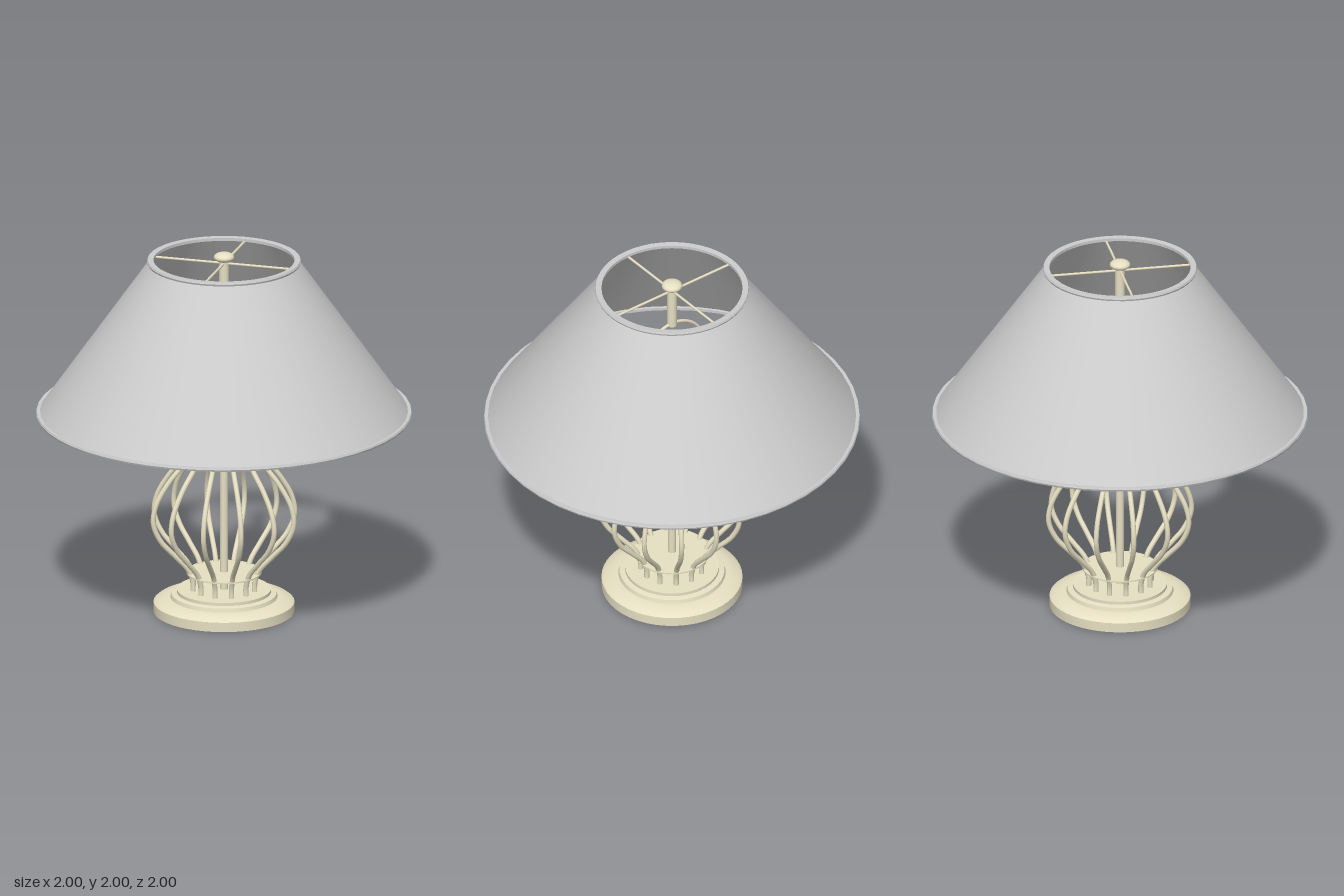
import * as THREE from 'three';
import { toCreasedNormals } from 'three/addons/utils/BufferGeometryUtils.js';

const cream = new THREE.MeshStandardMaterial({ color: 0xe6dfc2, side: THREE.DoubleSide });
const grey = new THREE.MeshStandardMaterial({ color: 0xcccccc, side: THREE.DoubleSide });
const dark = new THREE.MeshStandardMaterial({ color: 0x222222 });

export function createModel() {
  const lamp = new THREE.Group();
  lamp.name = 'tableLamp';

  const add = (name, geometry, material = cream, parent = lamp) => {
    const mesh = new THREE.Mesh(geometry, material);
    mesh.name = name;
    parent.add(mesh);
    return mesh;
  };
  // turned part from [radius, height] pairs, listed bottom to top
  const turned = (name, profile, material, segments = 48) =>
    add(name, toCreasedNormals(
      new THREE.LatheGeometry(profile.map(([r, y]) => new THREE.Vector2(r, y)), segments), 0.6), material);
  const rod = (name, radius, y0, y1, material) => {
    const mesh = add(name, new THREE.CylinderGeometry(radius, radius, y1 - y0, 20), material);
    mesh.position.y = (y0 + y1) / 2;
    return mesh;
  };

  // stepped round foot
  turned('base', [
    [0, 0], [0.375, 0], [0.375, 0.052], [0.36, 0.064], [0.31, 0.078], [0.285, 0.08],
    [0.28, 0.1], [0.25, 0.105], [0.25, 0.122], [0, 0.122],
  ]);

  // cage of twelve bowed ribs
  const ribPath = new THREE.CatmullRomCurve3([
    [0.17, 0.11], [0.17, 0.17], [0.195, 0.24], [0.265, 0.32], [0.345, 0.41], [0.386, 0.51],
    [0.372, 0.61], [0.305, 0.73], [0.215, 0.84], [0.172, 0.92], [0.18, 0.98], [0.2, 1.01],
  ].map(([r, y]) => new THREE.Vector3(r, y, 0)));
  const ribGeometry = new THREE.TubeGeometry(ribPath, 48, 0.014, 8);
  const cage = new THREE.Group();
  cage.name = 'ribCage';
  lamp.add(cage);
  for (let i = 0; i < 12; i++) {
    add('rib', ribGeometry, cream, cage).rotation.y = (i * Math.PI) / 6;
  }

  // thin plate and hoop tying the ribs together
  rod('lowerPlate', 0.2, 0.211, 0.219).geometry = new THREE.CylinderGeometry(0.2, 0.2, 0.008, 48);
  const hoop = add('upperHoop', new THREE.TorusGeometry(0.17, 0.006, 8, 48));
  hoop.rotation.x = Math.PI / 2;
  hoop.position.y = 0.906;

  // domed cap above the cage
  turned('cap', [
    [0, 0.992], [0.265, 0.992], [0.258, 1.002], [0.215, 1.022], [0.17, 1.038],
    [0.11, 1.05], [0.065, 1.06], [0.04, 1.065], [0, 1.065],
  ]);

  // stem, socket, switch and bulb
  rod('centreRod', 0.021, 0.12, 1.0);
  rod('neck', 0.039, 1.05, 1.32);
  turned('socket', [
    [0, 1.29], [0.045, 1.29], [0.056, 1.31], [0.056, 1.4], [0.048, 1.42], [0, 1.42],
  ]);
  const switchStem = add('switchStem', new THREE.CylinderGeometry(0.01, 0.01, 0.06, 10), dark);
  switchStem.rotation.x = Math.PI / 2;
  switchStem.position.set(0, 1.34, 0.08);
  const knob = add('switchKnob', new THREE.CylinderGeometry(0.022, 0.022, 0.03, 14), dark);
  knob.rotation.x = Math.PI / 2;
  knob.position.set(0, 1.34, 0.115);
  turned('bulb', [
    [0, 1.41], [0.045, 1.41], [0.047, 1.45], [0.07, 1.475], [0.105, 1.505],
    [0.123, 1.54], [0.118, 1.57], [0.09, 1.592], [0.045, 1.604], [0, 1.607],
  ], grey);

  // wire loop around the bulb that carries the shade
  const side = [[0.05, 1.3], [0.13, 1.325], [0.195, 1.39], [0.215, 1.48], [0.19, 1.6], [0.11, 1.69]];
  const loop = [
    ...side.map(([x, y]) => new THREE.Vector3(x, y, 0)),
    new THREE.Vector3(0, 1.725, 0),
    ...side.slice().reverse().map(([x, y]) => new THREE.Vector3(-x, y, 0)),
  ];
  add('harp', new THREE.TubeGeometry(new THREE.CatmullRomCurve3(loop), 64, 0.009, 8));
  rod('harpPost', 0.026, 1.715, 1.95);

  // crossed spider wires and finial
  for (const axis of ['x', 'z']) {
    const wire = add('spiderWire', new THREE.CylinderGeometry(0.007, 0.007, 0.78, 8));
    wire.rotation[axis] = Math.PI / 2;
    wire.position.y = 1.94;
  }
  const finial = add('finial', new THREE.SphereGeometry(0.055, 24, 16));
  finial.scale.y = 0.48;
  finial.position.y = 1.9736;

  // conical shade with a trim band at each rim
  add('shade', new THREE.CylinderGeometry(0.395, 0.985, 0.845, 48, 1, true), grey).position.y = 1.5275;
  const trim = (name, inner, outer, y) => turned(name, [
    [inner, y - 0.008], [outer - 0.004, y - 0.01], [outer, y], [outer - 0.004, y + 0.01],
    [inner, y + 0.008], [inner, y - 0.008],
  ], grey);
  trim('lowerTrim', 0.965, 1.0, 1.106);
  trim('upperTrim', 0.375, 0.41, 1.951);

  return lamp;
}
